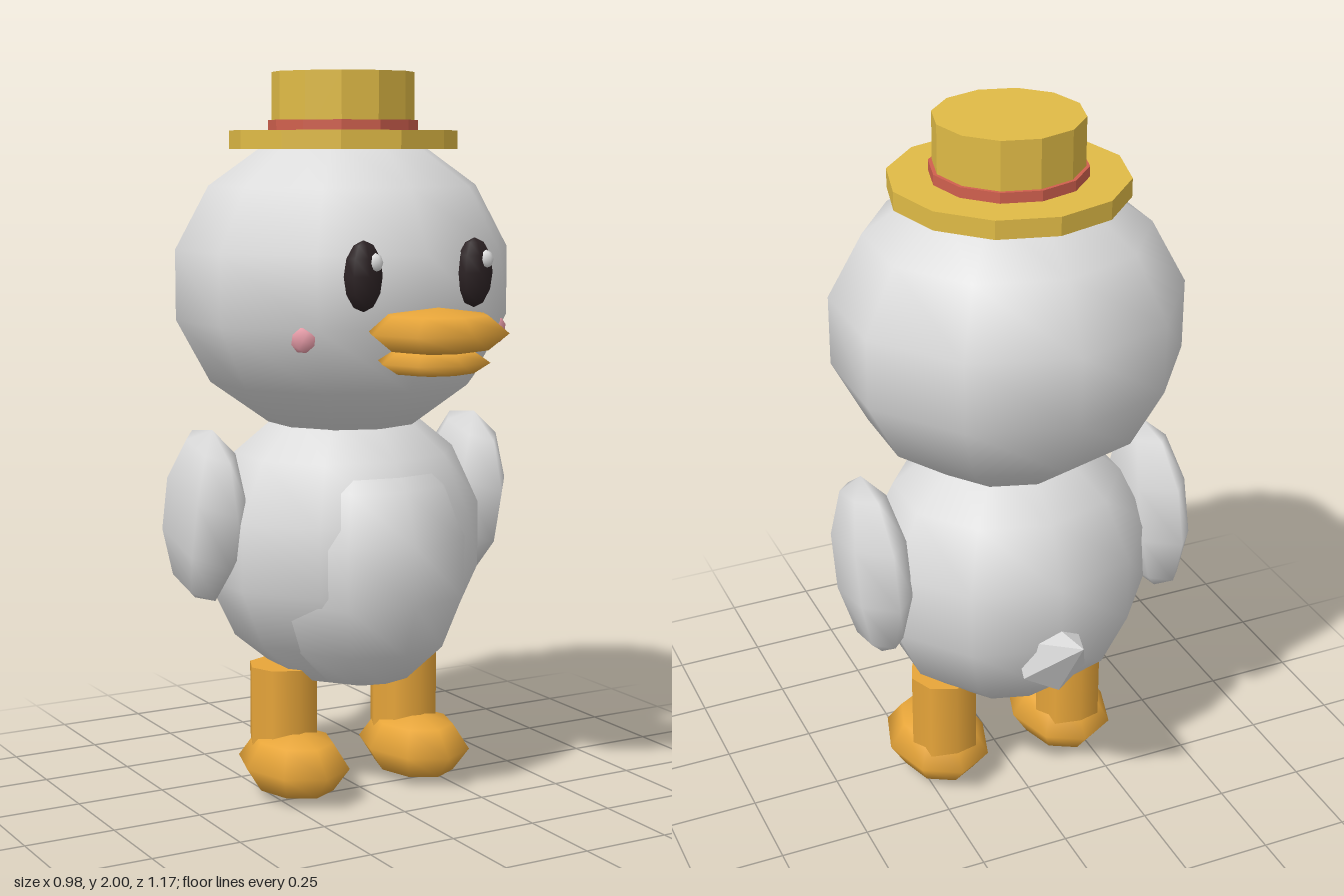
import * as THREE from 'three';

const mat = (name, color, flatShading = false) => {
  const m = new THREE.MeshStandardMaterial({ color, flatShading });
  m.name = name;
  return m;
};

export function createModel() {
  const white = mat('white feathers', 0xdcdcdc);
  const orange = mat('orange', 0xe8a63a);
  const straw = mat('straw', 0xe0bb46);
  const red = mat('red ribbon', 0xd0604e);
  const black = mat('eye black', 0x2c2224);
  const pink = mat('cheek pink', 0xe298a4);

  const group = new THREE.Group();
  const add = (name, geometry, material, [x, y, z]) => {
    const mesh = new THREE.Mesh(geometry, material);
    mesh.name = name;
    mesh.position.set(x, y, z);
    group.add(mesh);
    return mesh;
  };

  // Low-poly ellipsoid with a column of vertices facing front
  const blob = (name, material, pos, [rx, ry, rz], w, h) => {
    const g = new THREE.SphereGeometry(1, w, h);
    g.rotateY(Math.PI / 2);
    g.scale(rx, ry, rz);
    return add(name, g, material, pos);
  };

  // Hard-edged cylinder or cone with flat sides
  const faceted = (name, material, pos, rTop, rBottom, height, sides) => {
    const g = new THREE.CylinderGeometry(rTop, rBottom, height, sides).toNonIndexed();
    g.computeVertexNormals();
    return add(name, g, material, pos);
  };

  // Head, body and belly
  blob('head', white, [0, 1.425, -0.09], [0.483, 0.43, 0.461], 10, 7);
  blob('body', white, [0, 0.7, -0.09], [0.405, 0.415, 0.37], 10, 7);
  blob('belly', white, [0, 0.66, 0.02], [0.31, 0.36, 0.297], 10, 7);

  // Tail points up and back
  const tail = faceted('tail', white, [0, 0.626, -0.482], 0, 0.105, 0.246, 6);
  tail.rotation.x = -0.977;

  // Bill
  blob('upperBill', orange, [0, 1.327, 0.41], [0.195, 0.063, 0.175], 8, 4);
  blob('lowerBill', orange, [0, 1.249, 0.39], [0.155, 0.04, 0.14], 8, 4);

  // Mirrored parts
  for (const [side, s] of [['left', 1], ['right', -1]]) {
    const wing = blob(side + 'Wing', white, [s * 0.417, 0.8, -0.13], [0.088, 0.25, 0.21], 6, 5);
    wing.rotation.x = 0.25;

    add(side + 'Leg', new THREE.CylinderGeometry(0.098, 0.098, 0.265, 8), orange, [s * 0.195, 0.2325, -0.09]);
    blob(side + 'Foot', orange, [s * 0.195, 0.096, -0.03], [0.145, 0.096, 0.195], 8, 4);

    blob(side + 'Eye', black, [s * 0.168, 1.47, 0.317], [0.058, 0.092, 0.033], 8, 6);
    blob(side + 'EyeGlint', white, [s * 0.168 + 0.024, 1.505, 0.337], [0.02, 0.025, 0.02], 6, 4);

    const cheek = blob(side + 'Cheek', pink, [s * 0.3, 1.305, 0.237], [0.036, 0.035, 0.016], 6, 4);
    cheek.rotation.set(0, s * 0.6, s * 0.5);
  }

  // Straw hat with ribbon
  faceted('hatBrim', straw, [0, 1.817, -0.093], 0.314, 0.314, 0.05, 12);
  faceted('hatCrown', straw, [0, 1.91, -0.093], 0.196, 0.196, 0.18, 12);
  faceted('hatRibbon', red, [0, 1.852, -0.093], 0.206, 0.206, 0.036, 12);

  return group;
}
